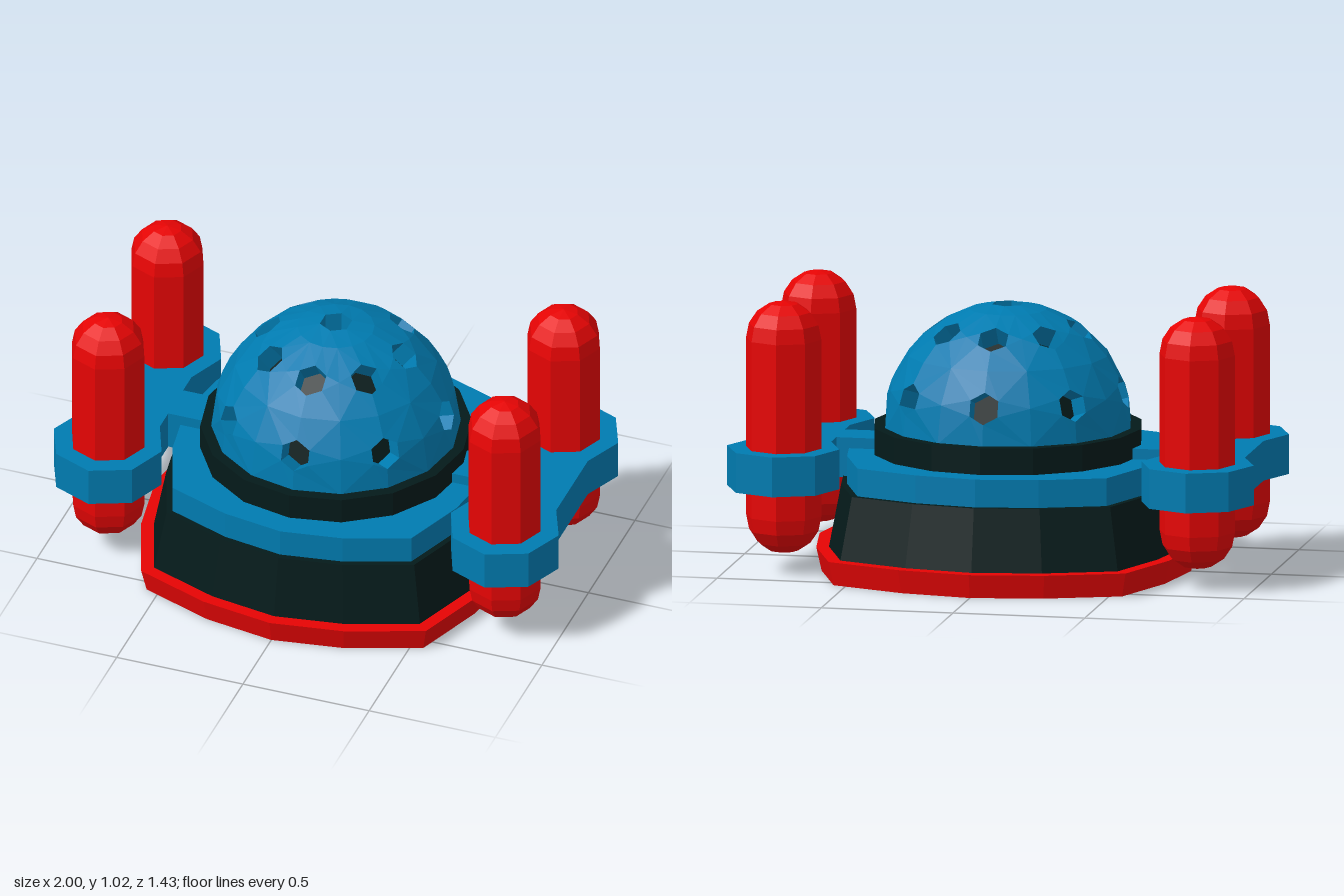
import * as THREE from 'three';

const paint = (color) => new THREE.MeshStandardMaterial({ color, flatShading: true, side: THREE.DoubleSide });
const RED = paint(0xe60404), BLUE = paint(0x007bb0), DARK = paint(0x041a1a);

const BASE_Y = 0.525, R_OUT = 0.465, R_IN = 0.42, R_FLOOR = 0.38, HOLE = 0.061;
const rad = THREE.MathUtils.degToRad;

function mesh(name, geometry, material) {
  const m = new THREE.Mesh(geometry, material);
  m.name = name;
  return m;
}

// Closed ring from a cross-section; "bulged" pulls the outline out into a rounded square.
function ring(name, profile, material, bulged) {
  const pts = [...profile, profile[0]].map(([r, y]) => new THREE.Vector2(r, y));
  const geo = new THREE.LatheGeometry(pts, 16);
  const p = geo.attributes.position;
  if (bulged) {
    for (let i = 0; i < p.count; i++) {
      const a = Math.atan2(p.getX(i), p.getZ(i));
      const k = 1 + 0.115 * Math.sin(2 * a) ** 6;
      p.setXYZ(i, p.getX(i) * k, p.getY(i), p.getZ(i) * k);
    }
  }
  geo.computeVertexNormals();
  return mesh(name, geo, material);
}

// Unit direction from degrees off the pole and degrees around it
const dir = (polar, around) => new THREE.Vector3().setFromSphericalCoords(1, rad(polar), rad(around));

// Geometry from a list of triangle corners
function fromTriangles(corners) {
  const geo = new THREE.BufferGeometry().setFromPoints(corners);
  geo.computeVertexNormals();
  return geo;
}

// Triangles between two loops around one centre, each point being { v, a } with its angle a
function zip(outer, inner) {
  const sort = (loop) => loop.sort((p, q) => p.a - q.a);
  const [o, n] = [sort(outer), sort(inner)];
  const at = (loop, i) => loop[i % loop.length];
  const next = (loop, i) => at(loop, i + 1).a + (i + 1 >= loop.length ? 2 * Math.PI : 0);
  const out = [];
  let i = 0, j = 0;
  while (i < o.length || j < n.length) {
    if (j >= n.length || (i < o.length && next(o, i) <= next(n, j))) {
      out.push(at(o, i).v, at(o, i + 1).v, at(n, j).v);
      i++;
    } else {
      out.push(at(o, i).v, at(n, j + 1).v, at(n, j).v);
      j++;
    }
  }
  return out;
}

// One dome panel with a hexagonal recess in its middle
function domePanel(polar, around, boundary) {
  const c = dir(polar, around);
  const up = dir(polar - 90, around);
  const side = new THREE.Vector3().crossVectors(up, c);
  const hex = (r) => Array.from({ length: 6 }, (_, i) => {
    const a = i * Math.PI / 3;
    return c.clone().multiplyScalar(Math.sqrt(r * r - HOLE * HOLE))
      .addScaledVector(up, HOLE * Math.cos(a)).addScaledVector(side, HOLE * Math.sin(a));
  });
  // Angles run counter-clockwise seen from outside; the tiny shift keeps the seam off any point
  const withAngle = (v) => {
    const a = Math.atan2(v.dot(up), v.dot(side)) + 0.01;
    return { v, a: a > Math.PI ? a - 2 * Math.PI : a };
  };

  // Outer skin, and inner skin with its triangles turned over
  const skin = (r) => zip(boundary.map((d) => withAngle(d.clone().multiplyScalar(r))), hex(r).map(withAngle));
  const corners = [...skin(R_OUT), ...skin(R_IN).reverse()];

  // Walls of the recess and its dark floor
  const o = hex(R_OUT), n = hex(R_FLOOR), floor = [];
  const mid = c.clone().multiplyScalar(Math.sqrt(R_FLOOR * R_FLOOR - HOLE * HOLE));
  for (let i = 0; i < 6; i++) {
    const j = (i + 1) % 6;
    corners.push(o[i], o[j], n[j], o[i], n[j], n[i]);
    floor.push(mid, n[j], n[i]);
  }
  const g = new THREE.Group();
  g.name = 'domePanel';
  g.add(mesh('domeShell', fromTriangles(corners), BLUE), mesh('recessFloor', fromTriangles(floor), DARK));
  return g;
}

function createDome() {
  const dome = new THREE.Group();
  dome.name = 'dome';
  dome.position.y = BASE_Y;
  // Cap around the pole
  dome.add(domePanel(0, 0, Array.from({ length: 16 }, (_, i) => dir(18, i * 22.5))));
  // Two rows of eight panels
  const loop = [[-18, -22.5], [0, -22.5], [18, -22.5], [18, 0], [18, 22.5], [0, 22.5], [-18, 22.5], [-18, 0]];
  for (const polar of [36, 72]) {
    for (let a = 0; a < 360; a += 45) {
      dome.add(domePanel(polar, a, loop.map(([dp, da]) => dir(polar + dp, a + da))));
    }
  }
  return dome;
}

// Arm with a bracket holding two upright capsules
function createSideUnit(name) {
  const unit = new THREE.Group();
  unit.name = name;
  const half = [[0.48, 0.08], [0.635, 0.08], [0.635, 0.17], [0.573, 0.32], [0.635, 0.47],
    [0.785, 0.532], [0.935, 0.47], [1, 0.32], [0.935, 0.17]];
  const outline = [...half, ...half.map(([x, z]) => [x, -z]).reverse()];
  const shape = new THREE.Shape(outline.map(([x, z]) => new THREE.Vector2(x, z)));
  const bracket = mesh('bracket', new THREE.ExtrudeGeometry(shape, { depth: 0.15, bevelEnabled: false }), BLUE);
  bracket.geometry.rotateX(Math.PI / 2);
  bracket.position.y = 0.47;
  unit.add(bracket);
  for (const z of [-0.318, 0.318]) {
    const rod = mesh('capsule', new THREE.CapsuleGeometry(0.143, 0.668, 4, 8), RED);
    rod.position.set(0.785, 0.548, z);
    unit.add(rod);
  }
  return unit;
}

export function createModel() {
  const model = new THREE.Group();
  model.name = 'domedDevice';

  // Hollow stepped base with thin walls
  model.add(
    ring('baseRim', [[0.695, 0], [0.715, 0.09], [0.64, 0.09], [0.675, 0]], RED, true),
    ring('baseWall', [[0.668, 0.088], [0.622, 0.325], [0.59, 0.325], [0.648, 0.088]], DARK, true),
    ring('band', [[0.6, 0.32], [0.6, 0.43], [0.44, 0.43], [0.44, 0.41], [0.57, 0.41], [0.57, 0.32]], BLUE, true),
    ring('collar', [[0.505, 0.405], [0.505, 0.53], [0.415, 0.53], [0.46, 0.405]], DARK, false),
    createDome(),
  );

  // Side units, mirrored by a half turn
  const left = createSideUnit('leftUnit');
  const right = createSideUnit('rightUnit');
  right.rotation.y = Math.PI;
  model.add(left, right);
  return model;
}
